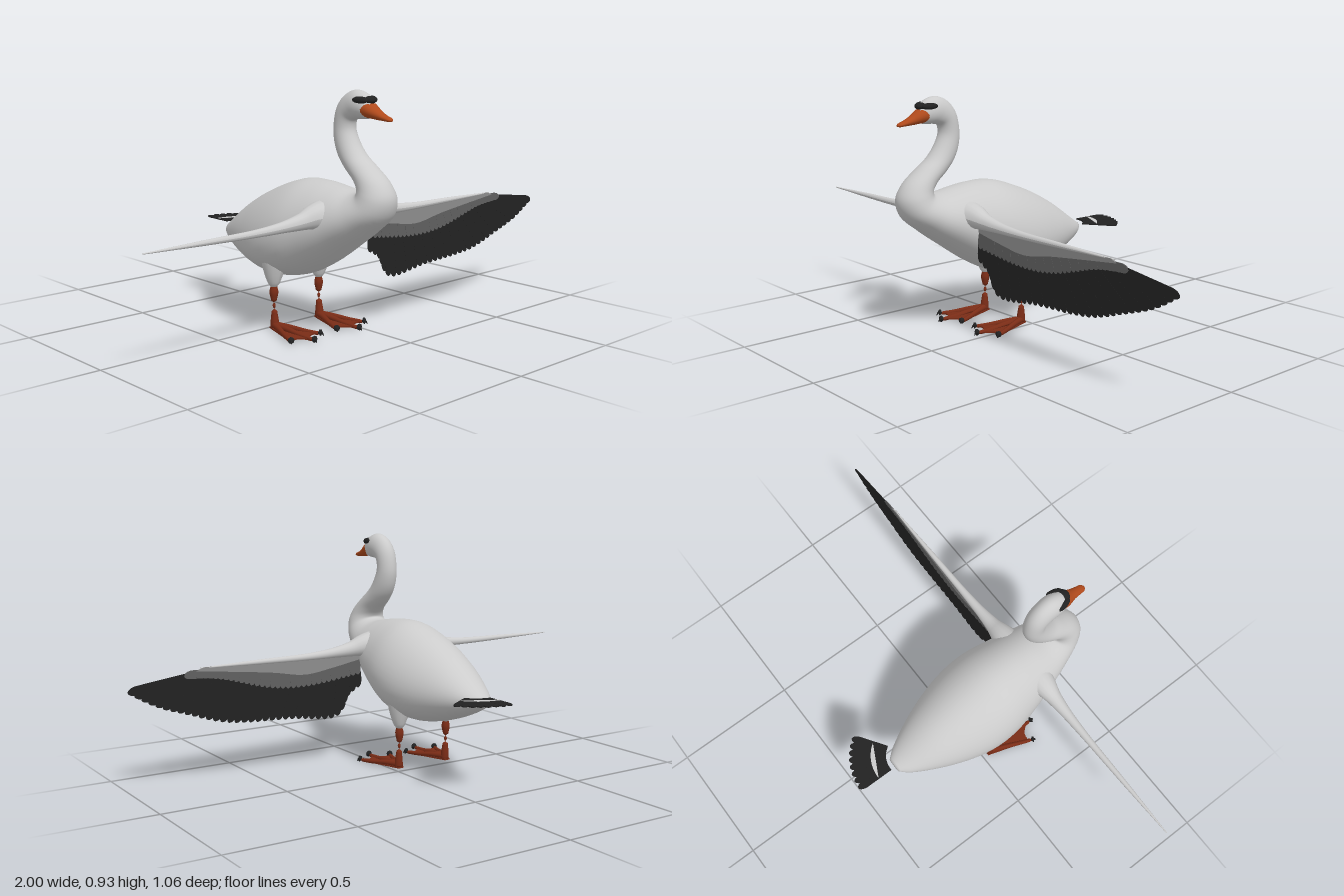
import * as THREE from 'three';
import { mergeGeometries } from 'three/addons/utils/BufferGeometryUtils.js';

const mat = (color) => new THREE.MeshStandardMaterial({ color, side: THREE.DoubleSide });
const GREY = mat(0xcccccc), BLACK = mat(0x222222), COVERT = mat(0x606060), STRIPE = mat(0x8c8c8c);
const LEG = mat(0x7a2c16), BEAK = mat(0xb04a1c);
const CENTRE = -0.143; // body axis; the open wing shifts the bird sideways

function add(parent, name, geometry, material) {
  const mesh = new THREE.Mesh(geometry, material);
  mesh.name = name;
  parent.add(mesh);
  return mesh;
}

// Smooth skin through rows [upper z, upper y, lower z, lower y, half width]
function loft(rows, steps, sides, egg = 0) {
  const upper = new THREE.CatmullRomCurve3(rows.map((r) => new THREE.Vector3(r[4], r[1], r[0])));
  const lower = new THREE.CatmullRomCurve3(rows.map((r) => new THREE.Vector3(r[4], r[3], r[2])));
  const pos = [], idx = [];
  for (let i = 0; i <= steps; i++) {
    const p = upper.getPoint(i / steps), q = lower.getPoint(i / steps);
    for (let j = 0; j < sides; j++) {
      const a = (j / sides) * Math.PI * 2, s = Math.sin(a), k = (1 + s) / 2;
      const x = p.x * Math.cos(a) * (1 - egg * s * Math.min(1, p.x / 0.15));
      pos.push(x, q.y + (p.y - q.y) * k, q.z + (p.z - q.z) * k);
      if (i < steps) {
        const n = (j + 1) % sides, b = i * sides, c = b + sides;
        idx.push(b + j, b + n, c + j, b + n, c + n, c + j);
      }
    }
  }
  // end caps
  for (const i of [0, steps]) {
    const c = pos.length / 3, p = upper.getPoint(i / steps), q = lower.getPoint(i / steps);
    pos.push(0, (p.y + q.y) / 2, (p.z + q.z) / 2);
    for (let j = 0; j < sides; j++) {
      const u = i * sides + j, v = i * sides + (j + 1) % sides;
      if (i) idx.push(c, u, v); else idx.push(c, v, u);
    }
  }
  const g = new THREE.BufferGeometry();
  g.setAttribute('position', new THREE.Float32BufferAttribute(pos, 3));
  g.setIndex(idx);
  g.computeVertexNormals();
  return g;
}

// Tube through [x, y, z, radius] points with a varying radius
function taperedTube(points, steps = 24, sides = 16) {
  const curve = new THREE.CatmullRomCurve3(points.map((p) => new THREE.Vector3(p[0], p[1], p[2])));
  const radius = new THREE.CatmullRomCurve3(points.map((p) => new THREE.Vector3(p[3], 0, 0)));
  const g = new THREE.TubeGeometry(curve, steps, 1, sides);
  const pos = g.attributes.position, v = new THREE.Vector3();
  for (let i = 0; i < pos.count; i++) {
    const u = Math.floor(i / (sides + 1)) / steps;
    const c = curve.getPointAt(u), r = radius.getPoint(curve.getUtoTmapping(u)).x;
    v.fromBufferAttribute(pos, i).sub(c).multiplyScalar(r).add(c);
    pos.setXYZ(i, v.x, v.y, v.z);
  }
  g.computeVertexNormals();
  return g;
}

const slab = (shape, depth) => new THREE.ExtrudeGeometry(shape, { depth, bevelEnabled: false, curveSegments: 6 }).translate(0, 0, -depth / 2);

// Flat round-tipped feathers, each from a root [x, y] to a tip [x, y]
function feathers(roots, tips, w, depth) {
  return mergeGeometries(roots.map((r, i) => {
    const dx = tips[i][0] - r[0], dy = tips[i][1] - r[1], L = Math.hypot(dx, dy);
    const s = new THREE.Shape();
    s.moveTo(0, -w * 0.35);
    s.lineTo(L - w, -w * 0.5);
    s.quadraticCurveTo(L - w * 0.1, -w * 0.45, L, 0);
    s.quadraticCurveTo(L - w * 0.1, w * 0.45, L - w, w * 0.5);
    s.lineTo(0, w * 0.35);
    return slab(s, depth * (i % 2 ? 1 : 0.8)).rotateZ(Math.atan2(dy, dx)).translate(r[0], r[1], 0);
  }));
}

function wingRow(edge, count, reach, w, depth) {
  const curve = new THREE.SplineCurve(edge.map((p) => new THREE.Vector2(...p)));
  const tips = curve.getSpacedPoints(count - 1).map((p) => [p.x, p.y]);
  const roots = tips.map(([x]) => [0.012 + reach * x, 0.445 - 0.02 * x * x]);
  return feathers(roots, tips, w, depth);
}

export function createModel() {
  const model = new THREE.Group();
  model.name = 'bird';
  const core = new THREE.Group();
  core.name = 'bodyGroup';
  core.position.x = CENTRE;
  model.add(core);

  // Body, neck and head in one skin, tail to face
  add(core, 'body', loft([
    [-0.364, 0.345, -0.364, 0.315, 0.03], [-0.32, 0.373, -0.33, 0.29, 0.062],
    [-0.18, 0.468, -0.18, 0.23, 0.134], [-0.04, 0.537, -0.02, 0.197, 0.18],
    [0.1, 0.582, 0.1, 0.212, 0.187], [0.2, 0.584, 0.21, 0.265, 0.167],
    [0.29, 0.573, 0.32, 0.338, 0.14], [0.36, 0.562, 0.43, 0.415, 0.11],
    [0.39, 0.571, 0.51, 0.482, 0.086], [0.385, 0.586, 0.53, 0.547, 0.073],
    [0.362, 0.61, 0.505, 0.603, 0.062], [0.32, 0.643, 0.44, 0.66, 0.054],
    [0.285, 0.682, 0.395, 0.694, 0.049], [0.264, 0.725, 0.36, 0.737, 0.045],
    [0.255, 0.78, 0.339, 0.785, 0.041], [0.27, 0.86, 0.345, 0.815, 0.041],
    [0.305, 0.905, 0.37, 0.823, 0.042], [0.357, 0.926, 0.4, 0.825, 0.042],
    [0.405, 0.915, 0.425, 0.829, 0.034], [0.436, 0.89, 0.435, 0.84, 0.018],
  ], 110, 40, 0.15), GREY);

  // Beak with dark knob and eye patches
  add(core, 'beak', loft([
    [0.405, 0.898, 0.398, 0.83, 0.037], [0.437, 0.882, 0.43, 0.829, 0.033],
    [0.47, 0.86, 0.465, 0.826, 0.022], [0.5, 0.845, 0.5, 0.824, 0.017],
    [0.52, 0.838, 0.52, 0.823, 0.014], [0.529, 0.832, 0.529, 0.825, 0.006],
  ], 24, 20), BEAK);
  add(core, 'beakKnob', new THREE.SphereGeometry(1, 20, 14).scale(0.025, 0.014, 0.022).translate(0, 0.893, 0.424), BLACK);

  for (const s of [-1, 1]) {
    const side = s > 0 ? 'left' : 'right';
    add(core, side + 'EyePatch', new THREE.SphereGeometry(1, 20, 14).scale(0.013, 0.013, 0.032)
      .rotateY(-s * 0.25).translate(s * 0.029, 0.893, 0.403), BLACK);

    // Wing arm tapering out from the shoulder
    add(core, side + 'WingArm', taperedTube([
      [s * 0.07, 0.47, 0.275, 0.07], [s * 0.13, 0.474, 0.275, 0.048], [s * 0.19, 0.464, 0.275, 0.031],
      [s * 0.28, 0.455, 0.275, 0.02], [s * 0.4, 0.45, 0.275, 0.014], [s * 0.6, 0.45, 0.275, 0.01],
      [s * 0.857, 0.45, 0.275, 0.002],
    ], 40), GREY);

    // Leg
    const leg = new THREE.Group();
    leg.name = side + 'Leg';
    leg.position.set(s * 0.115, 0, 0.033);
    core.add(leg);
    add(leg, 'thigh', taperedTube([
      [-s * 0.02, 0.36, 0, 0.07], [-s * 0.005, 0.27, 0, 0.053], [0, 0.215, 0, 0.035],
      [0, 0.18, 0, 0.021], [0, 0.163, 0, 0.006]]), GREY);
    add(leg, 'shank', taperedTube([
      [0, 0.172, 0, 0.012], [0, 0.148, 0, 0.017], [0, 0.115, 0, 0.011], [0, 0.075, 0.002, 0.011],
      [0, 0.035, 0.004, 0.016], [0, 0.012, 0.005, 0.017], [0, 0.004, 0.005, 0.002]]), LEG);

    // Webbed foot: three toes with claws
    const web = new THREE.Shape();
    web.moveTo(-0.012, 0.012);
    web.lineTo(-0.07, -0.17);
    web.quadraticCurveTo(-0.03, -0.15, 0, -0.21);
    web.quadraticCurveTo(0.03, -0.15, 0.07, -0.17);
    web.lineTo(0.012, 0.012);
    add(leg, 'web', slab(web, 0.006).rotateX(-Math.PI / 2).translate(0, 0.009, 0), LEG);
    for (const [x, z] of [[-0.07, 0.175], [0, 0.22], [0.07, 0.175]]) {
      add(leg, 'toe', taperedTube([
        [0, 0.02, 0, 0.014], [x * 0.35, 0.018, z * 0.35, 0.011], [x * 0.7, 0.012, z * 0.7, 0.009],
        [x, 0.01, z, 0.007], [x * 1.03, 0.009, z * 1.03, 0.001]], 16, 10), LEG);
      add(leg, 'claw', taperedTube([
        [x, 0.012, z, 0.005], [x * 1.07, 0.014, z * 1.06, 0.005], [x * 1.14, 0.003, z * 1.1, 0.001]], 8, 8), BLACK);
    }
  }

  // Spread feathers of the left wing, hanging in an upright plane
  const wing = new THREE.Group();
  wing.name = 'leftWingFeathers';
  wing.position.z = 0.275;
  model.add(wing);
  add(wing, 'flightFeathers', wingRow([
    [0.015, 0.3], [0.07, 0.265], [0.13, 0.187], [0.33, 0.205], [0.6, 0.225],
    [0.78, 0.28], [0.9, 0.325], [1, 0.385]], 36, 0.74, 0.036, 0.002), BLACK);
  add(wing, 'coverts', wingRow([
    [0.015, 0.355], [0.25, 0.33], [0.43, 0.343], [0.65, 0.405], [0.78, 0.425]], 34, 0.9, 0.032, 0.004), COVERT);
  const stripe = new THREE.Shape();
  stripe.moveTo(0, 0.45);
  stripe.lineTo(0, 0.42);
  stripe.splineThru([[0.14, 0.395], [0.27, 0.38], [0.43, 0.405], [0.73, 0.44]].map((p) => new THREE.Vector2(...p)));
  stripe.lineTo(0.7, 0.452);
  add(wing, 'upperCoverts', slab(stripe, 0.006), STRIPE);

  // Tail fan, lying flat and spread to one side
  const tail = new THREE.Group();
  tail.name = 'tail';
  tail.position.set(-0.148, 0.348, -0.295);
  tail.rotation.x = -Math.PI / 2;
  model.add(tail);
  const fan = (r) => Array.from({ length: 8 }, (_, i) => {
    const a = 0.05 + i * 0.127;
    return [r * Math.sin(a), r * Math.cos(a)];
  });
  add(tail, 'tailFeathers', feathers(fan(0.09), fan(0.236), 0.032, 0.005), BLACK);
  const base = new THREE.Shape();
  base.moveTo(0, 0);
  base.absarc(0, 0, 0.15, Math.PI / 2 - 0.98, Math.PI / 2 + 0.03, false);
  add(tail, 'tailCoverts', slab(base, 0.009), GREY);

  return model;
}
